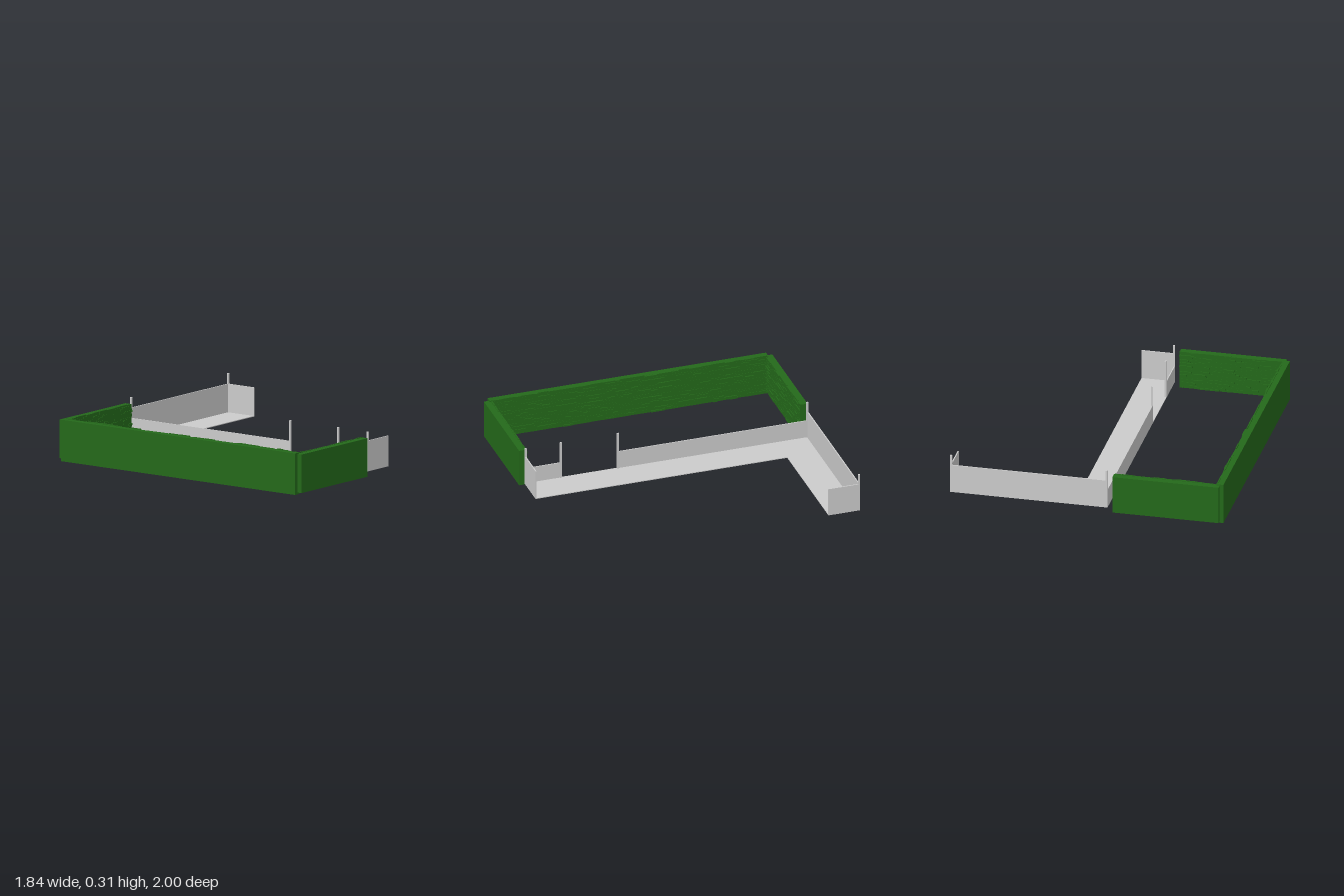
import * as THREE from 'three';
import { mergeGeometries } from 'three/addons/utils/BufferGeometryUtils.js';

const green = new THREE.MeshStandardMaterial({ color: 0x24691a });
const grey = new THREE.MeshStandardMaterial({ color: 0xcccccc });

function seeded(seed) {
  return () => {
    seed = (seed * 16807) % 2147483647;
    return seed / 2147483647;
  };
}

// Box given by its lower and upper corner
function boxGeo(x0, x1, y0, y1, z0, z1) {
  return new THREE.BoxGeometry(x1 - x0, y1 - y0, z1 - z0)
    .translate((x0 + x1) / 2, (y0 + y1) / 2, (z0 + z1) / 2);
}

function box(name, ...corners) {
  const mesh = new THREE.Mesh(boxGeo(...corners), grey);
  mesh.name = name;
  return mesh;
}

// Wall along x with its smooth outer face at z = 0 and rough strips facing +z
function roughWall(name, length, height, depth, seed) {
  const rand = seeded(seed);
  const half = length / 2;
  const parts = [boxGeo(-half, half, 0, height - 0.003, 0, depth - 0.012)];
  const rows = 24;
  const rowHeight = height / rows;
  for (let r = 0; r < rows; r++) {
    let x = -half;
    while (x < half) {
      const end = Math.min(half, x + 0.025 + 0.075 * rand());
      const out = rand() < 0.2 ? depth - 0.001 + 0.004 * rand() : depth - 0.006 + 0.003 * rand();
      const y = r * rowHeight;
      const lift = r === rows - 1 ? (rand() - 0.6) * 0.007 : 0;
      parts.push(boxGeo(x, end, y, y + rowHeight + lift, depth - 0.013, out));
      x = end;
    }
  }
  const mesh = new THREE.Mesh(mergeGeometries(parts), green);
  mesh.name = name;
  return mesh;
}

export function createModel() {
  const model = new THREE.Group();

  // Three-sided green enclosure, rough on the inside
  const enclosure = new THREE.Group();
  enclosure.name = 'greenEnclosure';
  const side = roughWall('sideWall', 1.93, 0.28, 0.052, 11);
  side.rotation.y = Math.PI / 2;
  side.position.set(-0.92, 0, 0);
  const back = roughWall('backWall', 0.715, 0.26, 0.056, 23);
  back.position.set(-0.5375, 0.013, -1);
  const front = roughWall('frontWall', 0.715, 0.26, 0.056, 37);
  front.rotation.y = Math.PI;
  front.position.set(-0.5375, 0.013, 1);
  enclosure.add(side, back, front);

  // L-shaped walkway floor
  const walkway = new THREE.Group();
  walkway.name = 'walkway';
  const outline = new THREE.Shape([
    [-0.145, 0.99], [-0.145, -0.975], [0.08, -0.975],
    [0.08, 0.77], [0.915, 0.77], [0.915, 0.99],
  ].map(([x, y]) => new THREE.Vector2(x, y)));
  const floor = new THREE.Mesh(
    new THREE.ExtrudeGeometry(outline, { depth: 0.005, bevelEnabled: false }).rotateX(-Math.PI / 2), grey);
  floor.name = 'floor';
  floor.position.y = 0.04;
  walkway.add(floor);

  // Thin panels around the outer edges, with an opening on the long side
  walkway.add(
    box('frontPanel', -0.145, 0.08, 0.04, 0.245, 0.967, 0.975),
    box('shortSidePanel', -0.145, -0.138, 0.04, 0.155, 0.72, 0.975),
    box('longSidePanel', -0.145, -0.138, 0.04, 0.168, -0.99, 0.335),
    box('backPanel', -0.145, 0.915, 0.04, 0.235, -0.99, -0.982),
    box('endPanel', 0.907, 0.915, 0.04, 0.235, -0.99, -0.77),
  );

  // Posts at the corners and beside the opening
  for (const [x, z] of [[-0.139, 0.969], [-0.139, 0.725], [-0.139, 0.33], [-0.139, -0.984], [0.909, -0.984]]) {
    walkway.add(box('post', x - 0.006, x + 0.006, 0.04, 0.305, z - 0.006, z + 0.006));
  }

  model.add(enclosure, walkway);
  return model;
}
